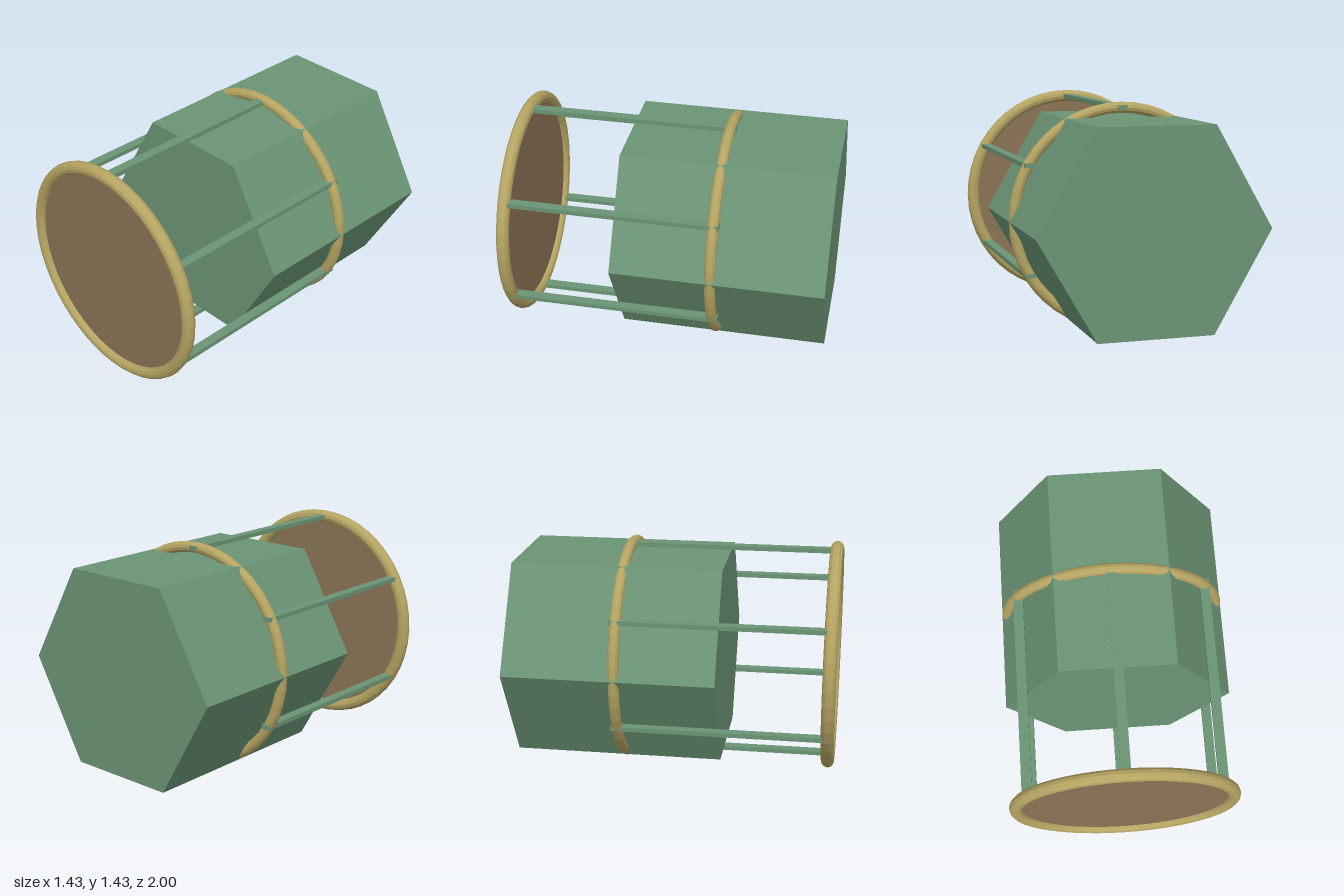
import * as THREE from 'three';

const CY = 0.717;   // height of the long axis
const R = 0.673;    // centre radius of hoops and rods

export function createModel() {
  const group = new THREE.Group();
  const mat = (color) => new THREE.MeshStandardMaterial({ color, flatShading: true });
  const green = mat(0x6b9475);
  const gold = mat(0xb5a462);
  const brown = mat(0x8b7355);

  const add = (name, geometry, material, x, y, z) => {
    const mesh = new THREE.Mesh(geometry, material);
    mesh.name = name;
    mesh.position.set(x, y, z);
    group.add(mesh);
    return mesh;
  };

  // Six-sided body, flat side up, lying along z
  const bodyGeo = new THREE.CylinderGeometry(0.707, 0.707, 1.295, 6);
  bodyGeo.rotateY(Math.PI / 6).rotateX(Math.PI / 2);
  // put corners on the x axis
  bodyGeo.computeBoundingBox();
  if (bodyGeo.boundingBox.max.x < 0.7) bodyGeo.rotateZ(Math.PI / 6);
  add('body', bodyGeo, green, 0, CY, -0.3525);

  // Front hoop and the narrower hoop around the body
  add('frontHoop', new THREE.TorusGeometry(R, 0.04, 12, 48), gold, 0, CY, 0.96);
  add('bodyHoop', new THREE.TorusGeometry(R, 0.034, 12, 48), gold, 0, CY, -0.315);

  // Round head stretched across the front hoop
  const headGeo = new THREE.CylinderGeometry(R, R, 0.012, 48).rotateX(Math.PI / 2);
  add('head', headGeo, brown, 0, CY, 0.96);

  // Six flat rods joining the hoops
  const rodGeo = new THREE.BoxGeometry(0.06, 0.027, 1.302);
  for (let i = 0; i < 6; i++) {
    const a = Math.PI / 6 + (i * Math.PI) / 3;
    add('rod', rodGeo, green, R * Math.cos(a), CY + R * Math.sin(a), 0.299);
  }
  return group;
}
